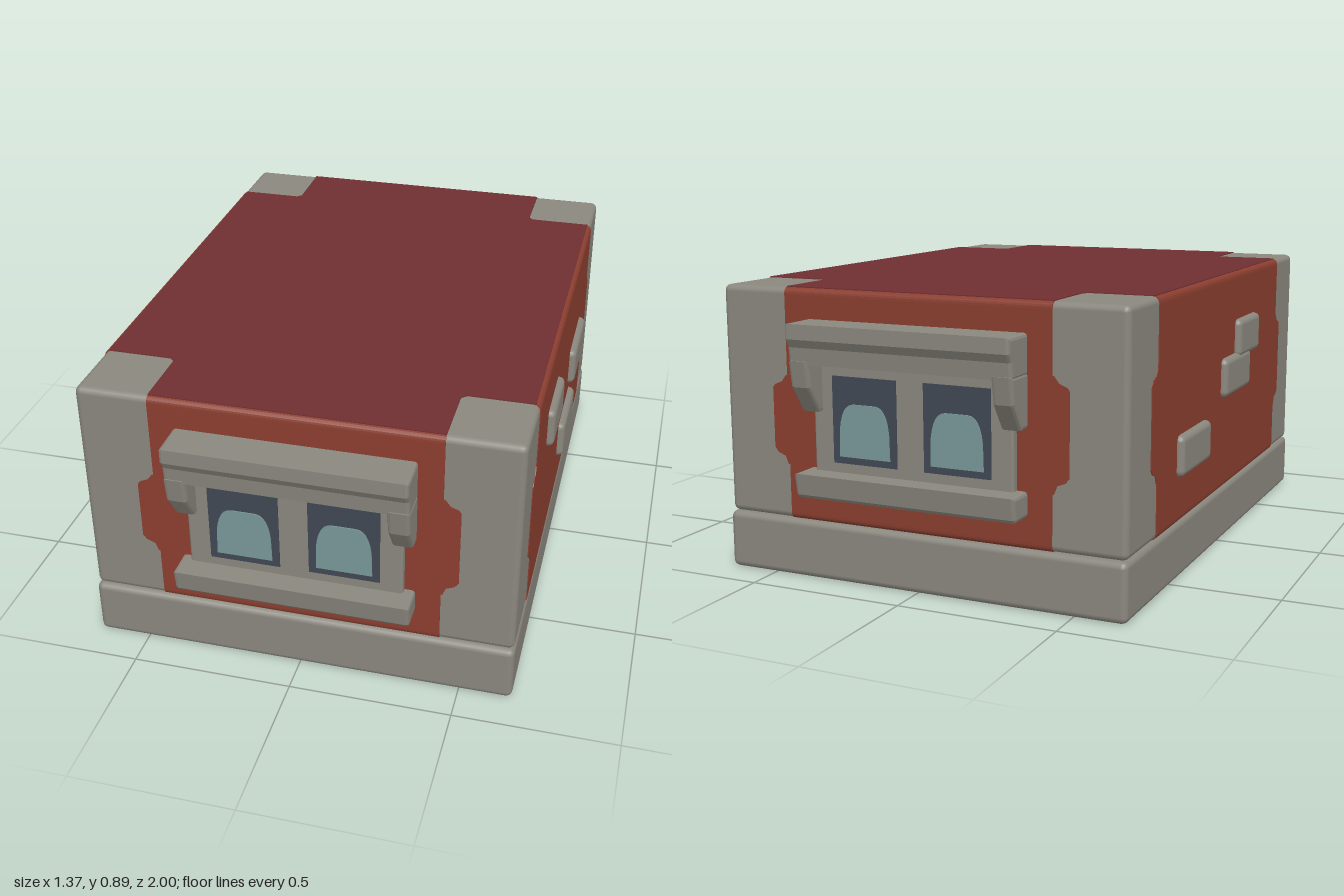
import * as THREE from 'three';
import { RoundedBoxGeometry } from 'three/addons/geometries/RoundedBoxGeometry.js';

const mat = (name, color, side = THREE.FrontSide) => {
  const m = new THREE.MeshStandardMaterial({ color, side });
  m.name = name;
  return m;
};

export function createModel() {
  const stone = mat('stone', 0x8a877e);
  const brick = mat('brick', 0x8b3e2f);
  const roofRed = mat('roof red', 0x702f31);
  const frameDark = mat('dark window', 0x3f4853);
  const glass = mat('glass', 0x78989a);
  const model = new THREE.Group();

  const add = (parent, name, geo, material, x = 0, y = 0, z = 0) => {
    const mesh = new THREE.Mesh(geo, material);
    mesh.name = name;
    mesh.position.set(x, y, z);
    parent.add(mesh);
    return mesh;
  };
  const box = (w, h, d, r = 0.02) => new RoundedBoxGeometry(w, h, d, 2, r);
  const polygon = (pts) => new THREE.Shape(pts.map(([x, y]) => new THREE.Vector2(x, y)));
  const plate = (shape, depth) => new THREE.ExtrudeGeometry(shape, { depth, bevelEnabled: false, curveSegments: 6 });

  // Rounded rectangle centred on the origin
  const roundedRect = (w, h, r) => {
    const x = w / 2, y = h / 2, s = new THREE.Shape();
    s.moveTo(-x + r, -y).lineTo(x - r, -y).quadraticCurveTo(x, -y, x, -y + r);
    s.lineTo(x, y - r).quadraticCurveTo(x, y, x - r, y);
    s.lineTo(-x + r, y).quadraticCurveTo(-x, y, -x, y - r);
    s.lineTo(-x, -y + r).quadraticCurveTo(-x, -y, -x + r, -y);
    return s;
  };

  // Profile given as [z, y], run along x with softened ends
  const alongX = (pts, width, b = 0.01) => {
    const geo = new THREE.ExtrudeGeometry(polygon(pts), {
      depth: width - 2 * b, bevelThickness: b, bevelSize: b, bevelOffset: -b, bevelSegments: 2,
    });
    return geo.translate(0, 0, -(width - 2 * b) / 2).rotateY(-Math.PI / 2);
  };

  // Plinth and stone core, whose corners show as quoins
  add(model, 'plinth', box(1.325, 0.18, 1.78), stone, 0, 0.09, 0);
  add(model, 'cornerStones', box(1.32, 0.71, 1.76), stone, 0, 0.535, 0);

  // Brick bands wrapping the core in both directions
  const band = (width, length) =>
    plate(roundedRect(width + 0.006, 0.712, 0.022), length).translate(0, 0, -length / 2);
  add(model, 'sideBrick', band(1.32, 1.3), brick, 0, 0.535, 0);
  add(model, 'endBrick', band(1.76, 0.87).rotateY(Math.PI / 2), brick, 0, 0.535, 0);

  // Cross-shaped roof sheet
  const a = 0.435, b = 0.65, w = 0.648, d = 0.868, c = 0.015;
  const quarter = [[w, b], [a + c, b], [a, b + c], [a, d]];
  const flip = (sx, sy) => quarter.map(([x, y]) => [x * sx, y * sy]);
  const roofShape = polygon([
    ...quarter, ...flip(-1, 1).reverse(), ...flip(-1, -1), ...flip(1, -1).reverse(),
  ]);
  add(model, 'roof', plate(roofShape, 0.005).rotateX(-Math.PI / 2), roofRed, 0, 0.888, 0);

  // Brick teeth reaching into the quoins
  const tooth = (edge, top, side) => {
    const p = [
      [-0.01, 0.35], [0.005, 0.35], [0.015, 0.375], [0.04, 0.385], [0.052, 0.4],
      [0.052, top - 0.01], [0.045, top], [0.02, top + 0.01], [0.005, top + 0.03], [-0.01, top + 0.03],
    ].map(([x, y]) => [side * (edge + x), y]);
    return plate(polygon(p), 0.006);
  };
  const face = (name, angle) => {
    const g = new THREE.Group();
    g.name = name;
    g.rotation.y = angle;
    model.add(g);
    return g;
  };

  // Front and back: teeth and a double window with hood and sill
  const paneShape = new THREE.Shape();
  paneShape.moveTo(-0.085, 0.4).lineTo(0.085, 0.4).lineTo(0.083, 0.48);
  paneShape.quadraticCurveTo(0.075, 0.56, 0.035, 0.56).lineTo(-0.035, 0.56);
  paneShape.quadraticCurveTo(-0.075, 0.56, -0.083, 0.48).lineTo(-0.085, 0.4);

  for (const [name, angle] of [['frontFace', 0], ['backFace', Math.PI]]) {
    const g = face(name, angle);
    add(g, 'brickTooth', tooth(a, 0.655, 1), brick, 0, 0, 0.877);
    add(g, 'brickTooth', tooth(a, 0.595, -1), brick, 0, 0, 0.877);
    add(g, 'windowFrame', box(0.655, 0.4, 0.06, 0.008), stone, 0, 0.51, 0.876);
    add(g, 'windowHood', alongX([
      [0.86, 0.68], [0.98, 0.68], [0.985, 0.73], [1, 0.755], [1, 0.8], [0.86, 0.8],
    ], 0.72), stone);
    add(g, 'windowSill', alongX([
      [0.86, 0.275], [0.957, 0.275], [0.965, 0.285], [0.975, 0.35], [0.86, 0.35],
    ], 0.72), stone);
    for (const s of [-1, 1]) {
      add(g, 'hoodBracket', alongX([
        [0.86, 0.53], [0.918, 0.53], [0.972, 0.61], [0.985, 0.69], [0.86, 0.69],
      ], 0.065), stone, s * 0.328, 0, 0);
      add(g, 'windowOpening', new THREE.BoxGeometry(0.215, 0.262, 0.006), frameDark, s * 0.152, 0.51, 0.906);
      add(g, 'windowPane', plate(paneShape, 0.003), glass, s * 0.152, 0, 0.909);
    }
  }

  // Sides: teeth and three raised stones, each [z centre, y centre, length]
  const sides = [
    ['leftSide', 1, [[0.3, 0.668, 0.24], [-0.322, 0.556, 0.285], [-0.105, 0.39, 0.28]]],
    ['rightSide', -1, [[0.235, 0.668, 0.24], [0.108, 0.556, 0.285], [-0.332, 0.39, 0.285]]],
  ];
  for (const [name, sx, stones] of sides) {
    const g = face(name, sx * Math.PI / 2);
    for (const s of [-1, 1]) add(g, 'brickTooth', tooth(b, 0.655, s), brick, 0, 0, 0.657);
    for (const [z, y, len] of stones) {
      add(g, 'raisedStone', box(len, 0.128, 0.06, 0.02), stone, -sx * z, y, 0.655);
    }
  }
  return model;
}
